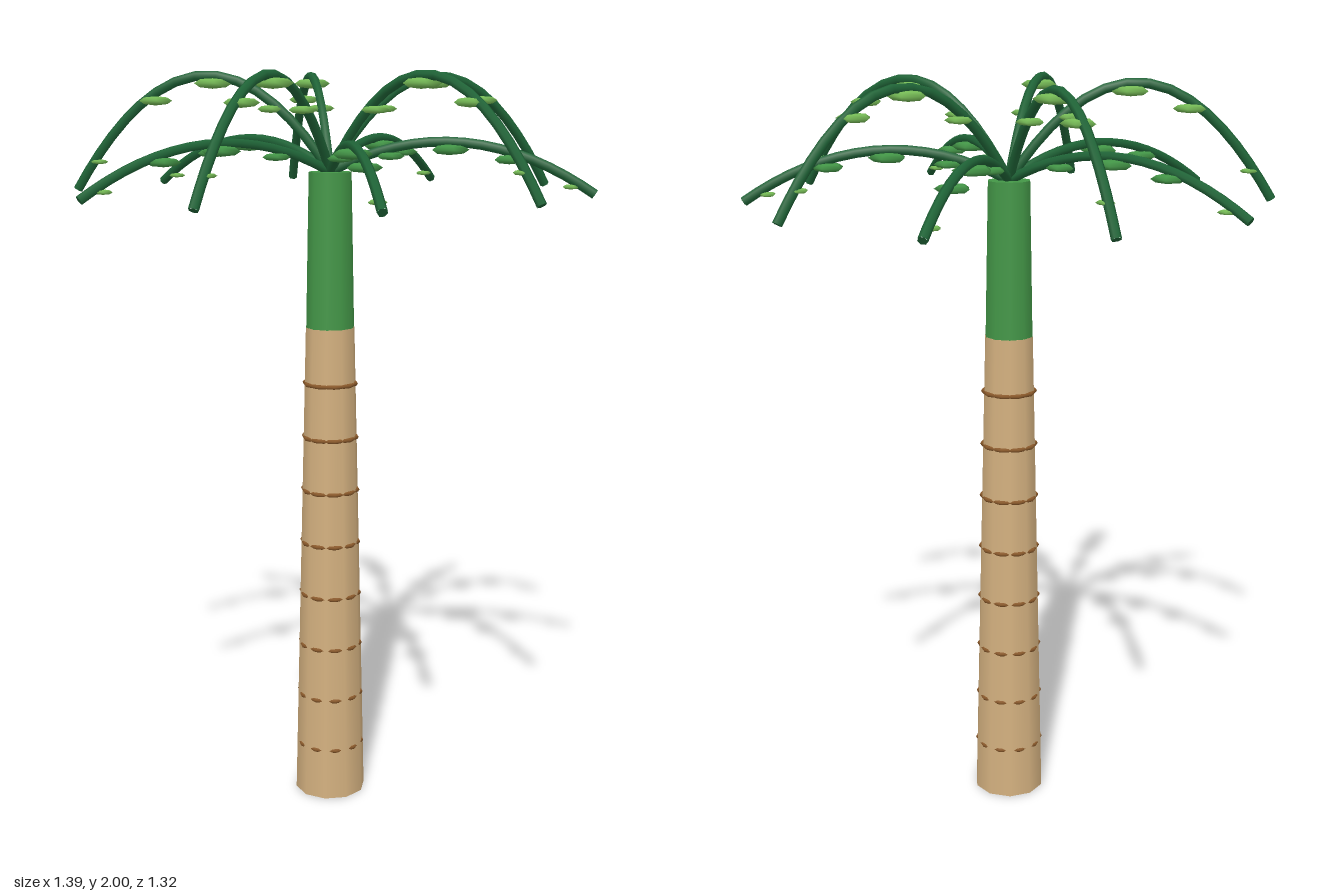
import * as THREE from 'three';

const mat = (name, color) => {
  const m = new THREE.MeshStandardMaterial({ color });
  m.name = name;
  return m;
};

export function createModel() {
  const tan = mat('trunk tan', 0xd3b07f);
  const brown = mat('ring brown', 0x8b5a2b);
  const green = mat('leaf green', 0x439647);
  const lightGreen = mat('light leaf green', 0x76bb56);
  const darkGreen = mat('stem dark green', 0x1f6437);

  const palm = new THREE.Group();
  palm.name = 'palmTree';
  const add = (parent, name, geometry, material, x = 0, y = 0, z = 0) => {
    const mesh = new THREE.Mesh(geometry, material);
    mesh.name = name;
    mesh.position.set(x, y, z);
    parent.add(mesh);
    return mesh;
  };

  // Ten-sided tapering trunk and green crown shaft
  const trunkTop = 1.33, crownTop = 1.74;
  add(palm, 'trunk', new THREE.CylinderGeometry(0.066, 0.098, trunkTop, 10), tan, 0, trunkTop / 2);
  add(palm, 'crownShaft', new THREE.CylinderGeometry(0.057, 0.065, crownTop - trunkTop, 10),
    green, 0, (trunkTop + crownTop) / 2);

  // Ten-sided bark rings, their corners on the middles of the trunk faces
  for (let i = 0; i < 8; i++) {
    const radius = THREE.MathUtils.lerp(0.0895, 0.0695, i / 7);
    const ring = add(palm, 'barkRing', new THREE.TorusGeometry(radius, 0.006, 6, 10), brown,
      0, 0.142 + 0.148 * i);
    ring.rotation.x = Math.PI / 2;
  }

  // Ten drooping fronds, alternating high and low arches
  const stops = [0.23, 0.455, 0.68, 0.91];
  const sizes = [0.038, 0.052, 0.045, 0.024];
  for (let i = 0; i < 10; i++) {
    const high = i % 2 === 0;
    const angle = i * Math.PI / 5;
    const at = (r, y) => new THREE.Vector3(r * Math.cos(angle), y, r * Math.sin(angle));
    const curve = new THREE.QuadraticBezierCurve3(
      at(0, 1.74), at(0.34, high ? 2.255 : 1.92), at(0.685, 1.688));

    const frond = new THREE.Group();
    frond.name = 'frond';
    palm.add(frond);
    add(frond, 'stem', new THREE.TubeGeometry(curve, 16, 0.0125, 6), darkGreen);

    // Disc closing the stem end
    const end = curve.getPoint(1);
    const cap = add(frond, 'stemTip', new THREE.CircleGeometry(0.0125, 6), darkGreen, end.x, end.y, end.z);
    cap.lookAt(end.clone().add(curve.getTangent(1)));

    // Flattened five-sided leaves hung just below the stem
    stops.forEach((t, k) => {
      const p = curve.getPoint(t);
      const leaf = add(frond, 'leaf', new THREE.SphereGeometry(sizes[k], 5, 4),
        high || k === 3 ? lightGreen : green, p.x, p.y - 0.02, p.z);
      leaf.scale.y = 0.27;
    });
  }
  return palm;
}
